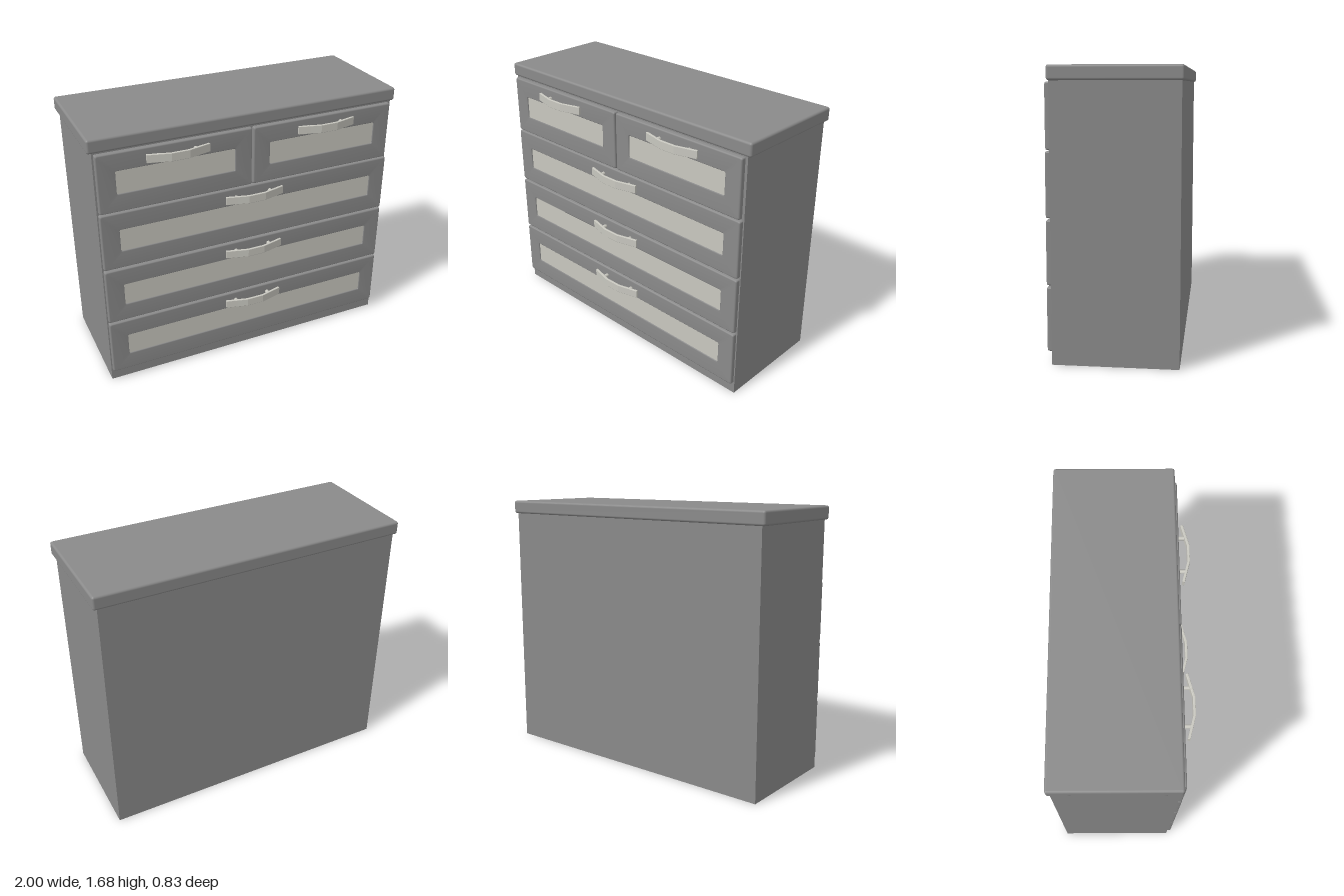
import * as THREE from 'three';
import { RoundedBoxGeometry } from 'three/addons/geometries/RoundedBoxGeometry.js';

const grey = new THREE.MeshStandardMaterial({ color: 0x8a8a8a });
grey.name = 'grey paint';
const cream = new THREE.MeshStandardMaterial({ color: 0xc8c7bf });
cream.name = 'pale cream';

function addMesh(parent, name, geometry, material, x = 0, y = 0, z = 0) {
  const mesh = new THREE.Mesh(geometry, material);
  mesh.name = name;
  mesh.position.set(x, y, z);
  parent.add(mesh);
  return mesh;
}

// Points of a rounded rectangle, counter-clockwise, four per corner
function roundedLoop(w, h, r) {
  const points = [];
  [[1, 1], [-1, 1], [-1, -1], [1, -1]].forEach(([sx, sy], corner) => {
    for (let i = 0; i <= 3; i++) {
      const a = (corner + i / 3) * Math.PI / 2;
      points.push([sx * (w / 2 - r) + r * Math.cos(a), sy * (h / 2 - r) + r * Math.sin(a)]);
    }
  });
  return points;
}

// Moulded frame: soft outer edge, broad face, small lip down to the panel
function frameGeometry(w, h, pw, ph) {
  const loops = [
    [w, h, 0.008, 0.315],
    [w, h, 0.010, 0.339],
    [w - 0.006, h - 0.006, 0.010, 0.345],
    [w - 0.018, h - 0.018, 0.010, 0.348],
    [pw + 0.010, ph + 0.010, 0.012, 0.347],
    [pw, ph, 0.008, 0.343],
    [pw, ph, 0.008, 0.334],
  ];
  const positions = [], index = [];
  loops.forEach(([lw, lh, r, z]) => roundedLoop(lw, lh, r).forEach(([x, y]) => positions.push(x, y, z)));
  const n = 16;
  for (let k = 0; k < loops.length - 1; k++) {
    for (let i = 0; i < n; i++) {
      const a = k * n + i, b = k * n + (i + 1) % n;
      index.push(a, b, b + n, a, b + n, a + n);
    }
  }
  const geometry = new THREE.BufferGeometry();
  geometry.setAttribute('position', new THREE.Float32BufferAttribute(positions, 3));
  geometry.setIndex(index);
  geometry.computeVertexNormals();
  return geometry;
}

// Bowed bar seen from above, extruded upwards with a small bevel
function barGeometry() {
  const front = [[-0.19, 0.376], [-0.12, 0.394], [-0.055, 0.411], [0.055, 0.411], [0.12, 0.394], [0.19, 0.376]];
  const back = front.map(([x, z]) => [x * 0.99, z - 0.009]).reverse();
  const shape = new THREE.Shape([...front, ...back].map(([x, z]) => new THREE.Vector2(x, z)));
  const geometry = new THREE.ExtrudeGeometry(shape, {
    depth: 0.046, bevelEnabled: true, bevelThickness: 0.003, bevelSize: 0.003, bevelSegments: 2,
  });
  geometry.translate(0, 0, -0.023);
  geometry.rotateX(Math.PI / 2);
  return geometry;
}

export function createModel() {
  const model = new THREE.Group();
  model.name = 'chestOfDrawers';

  // Carcass and overhanging top
  addMesh(model, 'carcass', new THREE.BoxGeometry(1.95, 1.6, 0.72), grey, 0, 0.8, -0.04);
  addMesh(model, 'topBoard', new RoundedBoxGeometry(2, 0.084, 0.744, 3, 0.014), grey, 0, 1.634, -0.042);

  const bar = barGeometry();
  const post = new THREE.CylinderGeometry(0.012, 0.012, 0.055, 12).rotateX(Math.PI / 2);

  function addDrawer(name, x, y, width, panelWidth) {
    const drawer = new THREE.Group();
    drawer.name = name;
    drawer.position.set(x, y, 0);
    model.add(drawer);
    addMesh(drawer, 'drawerFrame', frameGeometry(width, 0.37, panelWidth, 0.144), grey);
    const panel = new THREE.Shape(roundedLoop(panelWidth, 0.144, 0.008).map(([px, py]) => new THREE.Vector2(px, py)));
    addMesh(drawer, 'drawerPanel', new THREE.ShapeGeometry(panel), cream, 0, 0, 0.340);

    // Pull handle on two posts
    const handle = new THREE.Group();
    handle.name = 'handle';
    handle.position.y = 0.127;
    drawer.add(handle);
    addMesh(handle, 'handleBar', bar, cream);
    for (const side of [-1, 1]) addMesh(handle, 'handlePost', post, cream, side * 0.114, 0, 0.366);
  }

  // Three wide drawers below, two half drawers on top
  for (let i = 0; i < 3; i++) addDrawer('wideDrawer', 0, 0.261 + i * 0.381, 1.935, 1.71);
  for (const side of [-1, 1]) addDrawer('halfDrawer', side * 0.483 - 0.003, 1.4, 0.957, 0.736);

  return model;
}
